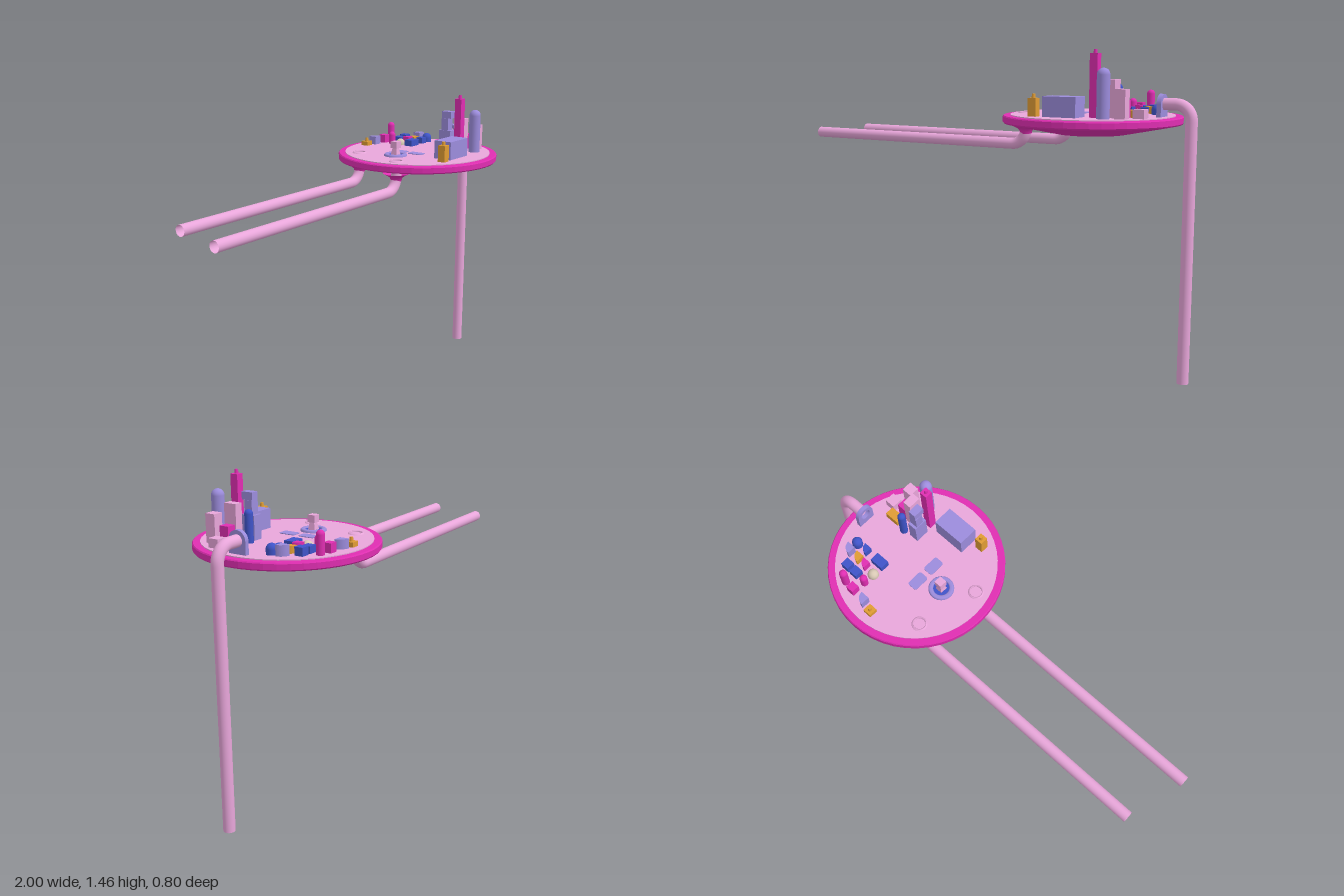
import * as THREE from 'three';

const PINK = 0xe8a6da, MAGENTA = 0xe02eb2, PURPLE = 0x9c8cdc, BLUE = 0x3f54c8, GOLD = 0xe09c34, CREAM = 0xd8c8b4;
const FLOOR = 1.163;

export function createModel() {
  const group = new THREE.Group();
  const mats = new Map();
  const mat = (color, flat = false) => {
    const key = color + (flat ? 'f' : 's');
    if (!mats.has(key)) {
      const m = new THREE.MeshStandardMaterial({ color, side: THREE.DoubleSide });
      m.flatShading = flat;
      mats.set(key, m);
    }
    return mats.get(key);
  };
  const add = (name, geo, color, x = 0, y = 0, z = 0, flat = false) => {
    const mesh = new THREE.Mesh(geo, mat(color, flat));
    mesh.name = name;
    mesh.position.set(x, y, z);
    group.add(mesh);
    return mesh;
  };
  const V = (x, y) => new THREE.Vector2(x, y);

  // Platform: shallow dish, rim and raised floor
  const dish = [V(0.001, 1.083), V(0.16, 1.083), V(0.395, 1.13), V(0.4, 1.136), V(0.4, 1.16), V(0.396, 1.165), V(0.366, 1.165), V(0.366, 1.155)];
  add('platformDish', new THREE.LatheGeometry(dish, 48), MAGENTA, 0.515, 0, 0, true);
  add('platformFloor', new THREE.CylinderGeometry(0.366, 0.366, 0.012, 48), PINK, 0.515, FLOOR, 0);

  // Bent open pipes
  const pipe = (name, points, z) => {
    const [a, b, corner, c, d] = points.map(([x, y]) => new THREE.Vector3(x, y, z));
    const path = new THREE.CurvePath();
    path.add(new THREE.LineCurve3(a, b));
    // handles approximating a circular elbow
    path.add(new THREE.CubicBezierCurve3(b, b.clone().lerp(corner, 0.55), c.clone().lerp(corner, 0.55), c));
    path.add(new THREE.LineCurve3(c, d));
    add(name, new THREE.TubeGeometry(path, 120, 0.026, 20, false), PINK);
  };
  const flare = [V(0.026, 1.075), V(0.03, 1.09), V(0.042, 1.1), V(0.065, 1.112)];
  const mouth = [V(0.026, 1.166), V(0.027, 1.174), V(0.031, 1.175), V(0.036, 1.168)];
  for (const [x, z, end] of [[0.22, 0.077, -1], [0.297, -0.203, -0.92]]) {
    pipe('inletPipe', [[end, 1.026], [x - 0.07, 1.026], [x, 1.026], [x, 1.096], [x, 1.172]], z);
    add('pipeCollar', new THREE.LatheGeometry(flare, 24), MAGENTA, x, 0, z);
    add('pipeMouth', new THREE.LatheGeometry(mouth, 24), PINK, x, 0, z);
    add('pipeOpening', new THREE.CircleGeometry(0.026, 20).rotateX(-Math.PI / 2), PINK, x, 1.1695, z);
  }
  pipe('supportPipe', [[0.972, 0], [0.972, 1.155], [0.972, 1.224], [0.903, 1.224], [0.84, 1.224]], 0);

  // Arched gateway around the upper pipe end
  const arch = new THREE.Shape();
  arch.moveTo(-0.042, 0).lineTo(0.042, 0).lineTo(0.042, 0.058);
  arch.absarc(0, 0.058, 0.042, 0, Math.PI, false);
  arch.lineTo(-0.042, 0);
  const hole = new THREE.Path();
  hole.absarc(0, 0.058, 0.025, 0, Math.PI * 2, true);
  arch.holes.push(hole);
  const archGeo = new THREE.ExtrudeGeometry(arch, { depth: 0.02, bevelEnabled: false, curveSegments: 20 });
  add('gatewayArch', archGeo.rotateY(Math.PI / 2), PURPLE, 0.83, FLOOR + 0.004, 0);

  // Blocks: x, z, width, depth, top, color
  const block = (name, x, z, w, d, top, color, bottom = FLOOR) =>
    add(name, new THREE.BoxGeometry(w, top - bottom, d), color, x, (top + bottom) / 2, z);
  [
    [0.48, 0.222, 0.157, 0.093, 1.257, PURPLE],
    [0.742, 0.207, 0.048, 0.048, 1.293, PINK],
    [0.8, 0.145, 0.05, 0.05, 1.208, PINK],
    [0.727, 0.15, 0.044, 0.044, 1.245, MAGENTA],
    [0.68, 0.155, 0.04, 0.06, 1.33, PINK],
    [0.745, 0.097, 0.07, 0.042, 1.2, GOLD],
    [0.625, -0.286, 0.038, 0.038, 1.21, MAGENTA],
    [0.674, -0.22, 0.042, 0.04, 1.2, BLUE],
    [0.725, -0.22, 0.04, 0.04, 1.205, BLUE],
    [0.632, -0.113, 0.066, 0.044, 1.2, BLUE],
  ].forEach((b) => block('blockBuilding', ...b));

  // Stepped tower
  block('steppedTowerBase', 0.612, 0.115, 0.046, 0.066, 1.275, PURPLE);
  block('steppedTowerMiddle', 0.612, 0.113, 0.041, 0.038, 1.336, PURPLE, 1.275);
  block('steppedTowerTop', 0.612, 0.12, 0.036, 0.054, 1.37, PURPLE, 1.336);

  // Square towers topped with a small spire
  for (const [x, z, w, top, color] of [
    [0.61, 0.187, 0.036, 1.438, MAGENTA], [0.355, 0.257, 0.038, 1.248, GOLD], [0.497, -0.307, 0.04, 1.19, GOLD],
  ]) {
    block('spireTower', x, z, w, w, top, color);
    add('spire', new THREE.CylinderGeometry(0.007, 0.009, 0.018, 12), color, x, top + 0.009, z);
  }

  // Round towers with rounded tops
  for (const [x, z, r, top, color] of [
    [0.672, 0.24, 0.028, 1.38, PURPLE], [0.672, 0.08, 0.018, 1.31, BLUE], [0.68, -0.28, 0.018, 1.27, MAGENTA],
    [0.615, -0.227, 0.017, 1.232, MAGENTA], [0.775, -0.113, 0.024, 1.215, BLUE], [0.615, -0.173, 0.025, 1.2, CREAM],
  ]) {
    const profile = [V(r, FLOOR)];
    for (let i = 0; i <= 8; i++) {
      const a = (i / 8) * Math.PI / 2;
      profile.push(V(Math.max(r * Math.cos(a), 0.0001), top - r + r * Math.sin(a)));
    }
    add('roundTower', new THREE.LatheGeometry(profile, 20), color, x, 0, z);
  }

  // Buildings with a quarter-round plan
  for (const [x, z, s, top, color] of [
    [0.555, -0.297, 0.042, 1.21, PURPLE], [0.674, -0.168, 0.036, 1.205, MAGENTA], [0.722, -0.165, 0.04, 1.2, GOLD],
    [0.775, -0.165, 0.04, 1.215, PURPLE], [0.722, -0.113, 0.037, 1.2, BLUE],
  ]) {
    const plan = new THREE.Shape();
    plan.moveTo(0, 0).lineTo(s, 0);
    plan.absarc(0, 0, s, 0, Math.PI / 2, false);
    plan.lineTo(0, 0);
    const geo = new THREE.ExtrudeGeometry(plan, { depth: top - FLOOR, bevelEnabled: false });
    add('quarterRoundBuilding', geo.rotateX(-Math.PI / 2), color, x - s / 2, FLOOR, z + s / 2);
  }

  // Fountain: ring basin with a pedestal
  const fx = 0.345, fz = -0.015;
  const basin = [V(0.058, 1.166), V(0.057, 1.176), V(0.052, 1.18), V(0.04, 1.18), V(0.036, 1.176), V(0.036, 1.168)];
  add('fountainBasin', new THREE.LatheGeometry(basin, 32), PURPLE, fx, 0, fz);
  add('fountainWater', new THREE.CylinderGeometry(0.037, 0.037, 0.006, 32), BLUE, fx, 1.171, fz);
  add('fountainPedestal', new THREE.CylinderGeometry(0.015, 0.025, 0.04, 4, 1).rotateY(Math.PI / 4), PINK, fx, 1.192, fz, true);
  block('fountainTop', fx, fz, 0.036, 0.036, 1.24, PINK, 1.207);

  // Low rounded pools
  for (const z of [-0.06, 0.04]) {
    const w = 0.025, d = 0.04, r = 0.012;
    const pool = new THREE.Shape();
    pool.absarc(w - r, d - r, r, 0, Math.PI / 2, false);
    pool.absarc(r - w, d - r, r, Math.PI / 2, Math.PI, false);
    pool.absarc(r - w, r - d, r, Math.PI, Math.PI * 1.5, false);
    pool.absarc(w - r, r - d, r, Math.PI * 1.5, Math.PI * 2, false);
    const geo = new THREE.ExtrudeGeometry(pool, { depth: 0.009, bevelEnabled: false, curveSegments: 6 });
    add('pool', geo.rotateX(-Math.PI / 2), PURPLE, 0.447, FLOOR, z);
  }
  return group;
}
